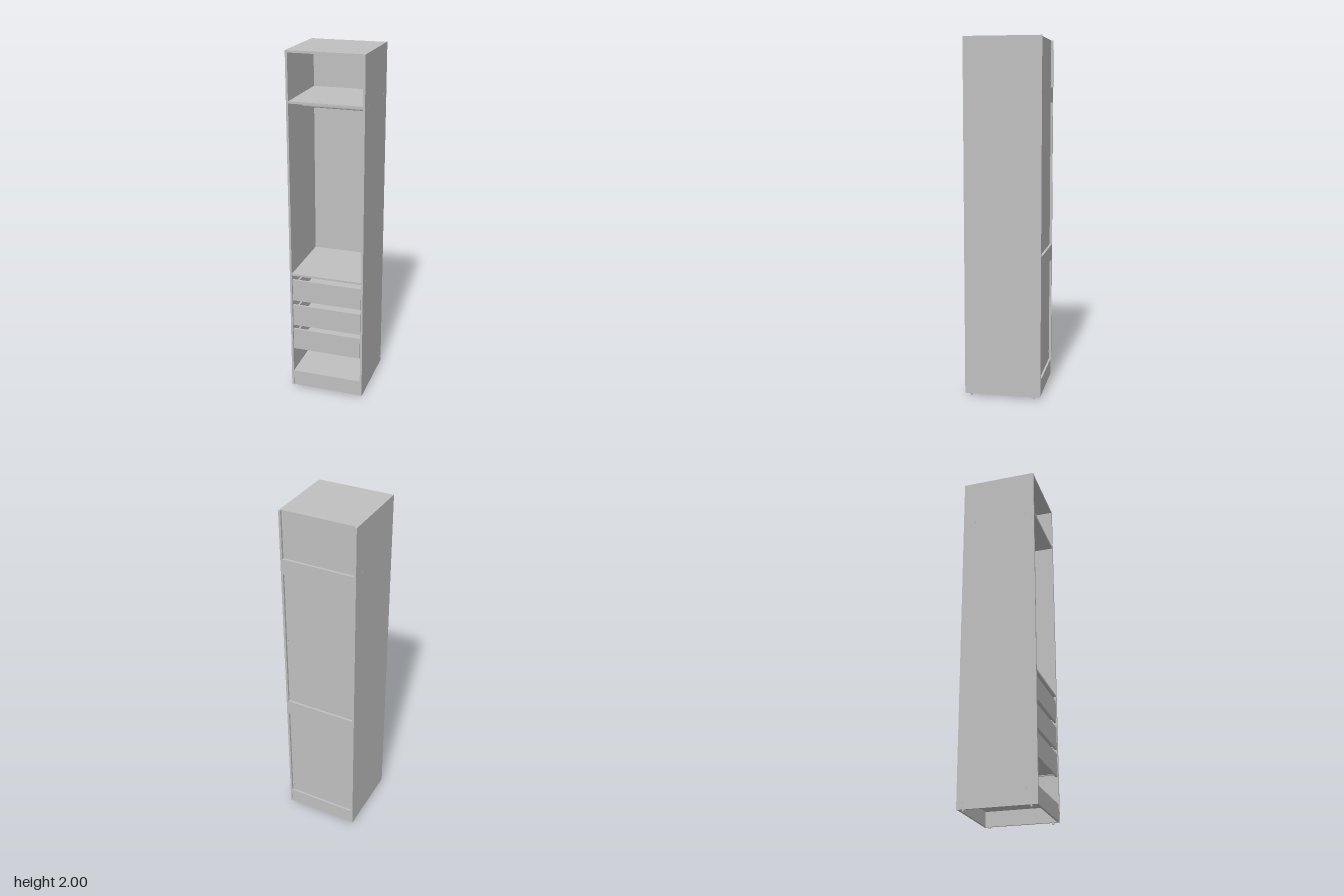
import * as THREE from 'three';

const grey = new THREE.MeshStandardMaterial({ color: 0xc0c0c0 });
grey.name = 'light grey';

// Box given by its lower and upper limits on each axis
function board(parent, name, [x0, x1], [y0, y1], [z0, z1]) {
  const mesh = new THREE.Mesh(new THREE.BoxGeometry(x1 - x0, y1 - y0, z1 - z0), grey);
  mesh.position.set((x0 + x1) / 2, (y0 + y1) / 2, (z0 + z1) / 2);
  mesh.name = name;
  parent.add(mesh);
  return mesh;
}

// Small cylinder standing along y, or along x when turned
function peg(parent, name, r, h, x, y, z, alongX = false) {
  const mesh = new THREE.Mesh(new THREE.CylinderGeometry(r, r, h, 16), grey);
  if (alongX) mesh.rotation.z = Math.PI / 2;
  mesh.position.set(x, y, z);
  mesh.name = name;
  parent.add(mesh);
  return mesh;
}

export function createModel() {
  const cabinet = new THREE.Group();
  cabinet.name = 'wardrobeCabinet';
  const inner = 0.204, outer = 0.216;
  const front = 0.214, back = -0.203, rear = -0.216;
  const wide = [-inner, inner];

  // Side panels with feet, screw caps and back panel clips
  for (const s of [-1, 1]) {
    const side = new THREE.Group();
    side.name = s > 0 ? 'leftSide' : 'rightSide';
    cabinet.add(side);
    const xs = s > 0 ? [inner, outer] : [-outer, -inner];
    board(side, 'sidePanel', xs, [0.01, 2], [rear, 0.216]);
    for (const z of [-0.18, 0.18]) peg(side, 'foot', 0.006, 0.012, s * 0.21, 0.006, z);
    for (const y of [1.725, 0.73, 0.1])
      for (const z of [-0.147, 0.159]) peg(side, 'screwCap', 0.003, 0.003, s * outer, y, z, true);
    for (const y of [1.7, 0.77, 0.04]) peg(side, 'railScrew', 0.003, 0.003, s * outer, y, -0.209, true);
    for (const z of [-0.18, 0.209]) peg(side, 'plinthScrew', 0.003, 0.003, s * outer, 0.05, z, true);
    for (const y of [1.95, 1.77, 1.61, 1.23, 0.83, 0.67, 0.41, 0.15])
      peg(side, 'backClip', 0.004, 0.01, s * 0.199, y, -0.206);
  }

  // Horizontal boards
  for (const [name, y] of [['topPanel', 1.988], ['upperShelf', 1.722], ['middleShelf', 0.728], ['bottomShelf', 0.094]])
    board(cabinet, name, wide, [y, y + 0.012], [back, front]);

  // Thin back panels, recessed between the sides
  for (const [y0, y1] of [[1.73, 1.99], [0.735, 1.73], [0.1, 0.735]])
    board(cabinet, 'backPanel', wide, [y0, y1], [back, back + 0.005]);

  // Cross rails behind the shelves
  for (const [y0, y1] of [[1.645, 1.732], [0.72, 0.81]])
    board(cabinet, 'backRail', wide, [y0, y1], [rear, back]);

  // Plinth
  board(cabinet, 'frontPlinth', wide, [0.012, 0.094], [0.202, front]);
  board(cabinet, 'backPlinth', wide, [0.012, 0.104], [rear + 0.002, back]);

  // Oval hanging rod
  const rod = peg(cabinet, 'hangingRod', 0.007, 2 * inner, 0, 1.672, 0, true);
  rod.scale.x = 1.9;

  // Open drawers
  for (const y of [0.572, 0.413, 0.258]) {
    const drawer = new THREE.Group();
    drawer.name = 'drawer';
    drawer.position.y = y;
    cabinet.add(drawer);
    board(drawer, 'drawerFront', [-0.201, 0.201], [0, 0.129], [0.201, 0.213]);
    board(drawer, 'drawerBottom', [-0.185, 0.185], [0.012, 0.018], [-0.18, 0.201]);
    board(drawer, 'drawerBack', [-0.185, 0.185], [0.018, 0.1], [-0.18, -0.17]);
    for (const s of [-1, 1]) {
      const xs = s > 0 ? [0.185, 0.195] : [-0.195, -0.185];
      board(drawer, 'drawerSide', xs, [0.008, 0.1], [-0.18, 0.201]);
      const runner = s > 0 ? [0.195, inner] : [-inner, -0.195];
      board(drawer, 'drawerRunner', runner, [0.02, 0.04], [-0.17, 0.195]);
    }
  }
  return cabinet;
}
